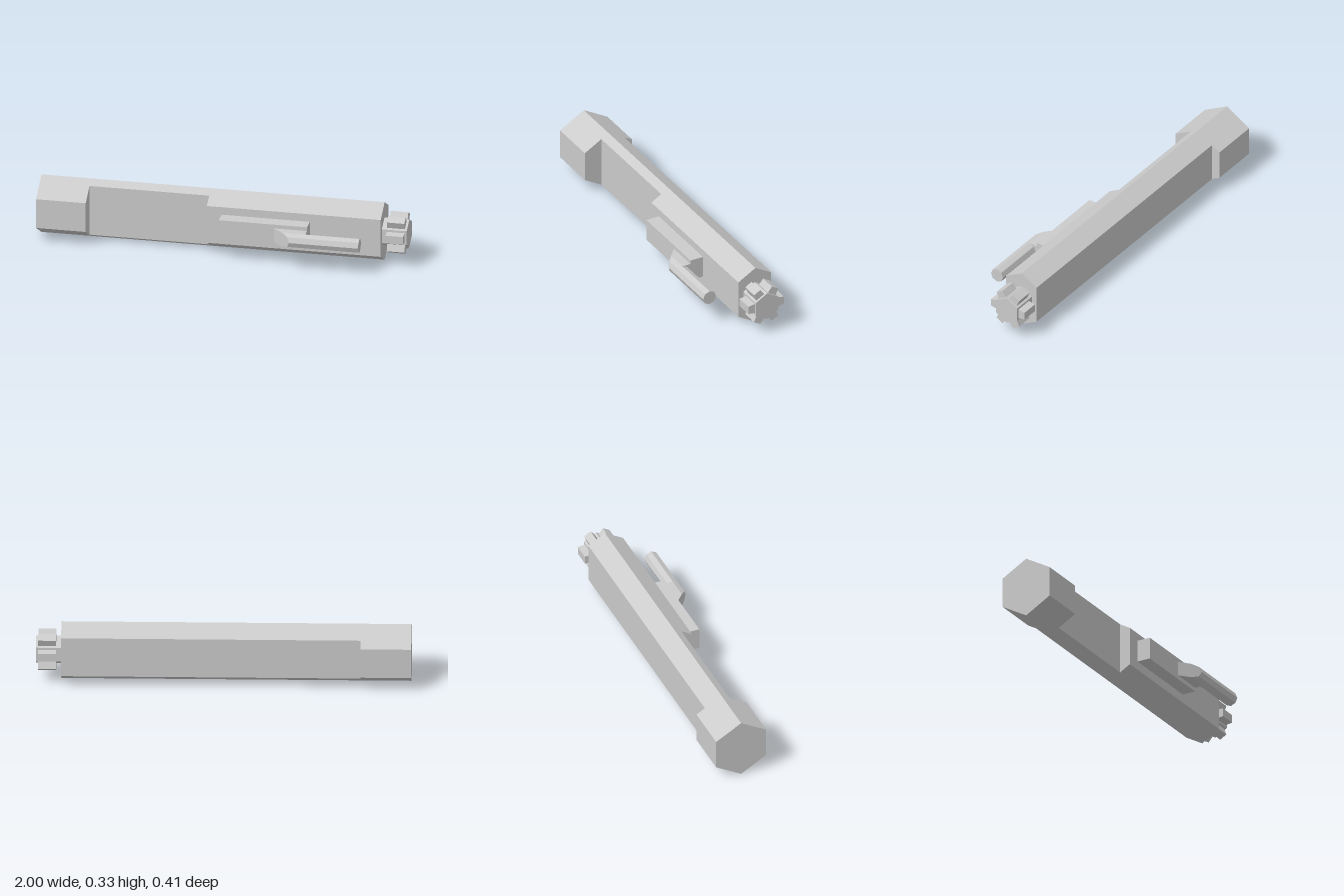
import * as THREE from 'three';

const material = new THREE.MeshStandardMaterial({ color: 0xcccccc, flatShading: true });

// Prism running along x, from a cross-section of [z, y] points
function prism(name, section, x0, x1) {
  const shape = new THREE.Shape(section.map(([z, y]) => new THREE.Vector2(-z, y)));
  const geometry = new THREE.ExtrudeGeometry(shape, { depth: x1 - x0, bevelEnabled: false });
  geometry.rotateY(Math.PI / 2).translate(x0, 0, 0);
  const mesh = new THREE.Mesh(geometry, material);
  mesh.name = name;
  return mesh;
}

// Regular polygon as [z, y] points
function polygon(sides, radius, cz, cy, start = 0) {
  return Array.from({ length: sides }, (_, i) => {
    const a = start + (i / sides) * Math.PI * 2;
    return [cz + radius * Math.cos(a), cy + radius * Math.sin(a)];
  });
}

// Pointed-top hexagon with its sides trimmed at z0 and z1
function trimmedHexagon(z0, z1) {
  const cz = -0.062, r = 0.1667;
  const h = z => r - Math.abs(z - cz) * Math.tan(Math.PI / 6);
  return [[z0, r - h(z0)], [cz, 0], [z1, r - h(z1)], [z1, r + h(z1)], [cz, 2 * r], [z0, r + h(z0)]];
}

export function createModel() {
  const model = new THREE.Group();
  model.name = 'hexagonalBarrel';

  // Body in three lengths
  model.add(
    prism('rearBlock', trimmedHexagon(-0.2065, 0.0825), -1, -0.73),
    prism('middleBody', trimmedHexagon(-0.158, -0.018), -0.73, -0.08),
    prism('forwardBody', trimmedHexagon(-0.158, 0.042), -0.08, 0.865)
  );

  // Locking head with six tapered lugs
  const cz = -0.058, cy = 0.167;
  const head = new THREE.Group();
  head.name = 'lockingHead';
  head.add(prism('headHub', polygon(6, 0.08, cz, cy, Math.PI / 6), 0.86, 1));
  const lug = [[0.06, -0.029], [0.109, -0.022], [0.109, 0.022], [0.06, 0.029]];
  for (let i = 0; i < 6; i++) {
    const c = Math.cos(i * Math.PI / 3), s = Math.sin(i * Math.PI / 3);
    const section = lug.map(([r, t]) => [cz + r * c - t * s, cy + r * s + t * c]);
    head.add(prism('lug', section, 0.892, 0.988));
  }
  model.add(head);

  // Side bracket
  model.add(prism('sideBracket', [[0.03, 0.108], [0.118, 0.108], [0.118, 0.23], [0.03, 0.23]], 0, 0.48));

  // Handle rod and its neck, whose rear end is cut on a slant
  const rod = polygon(8, 0.0395, 0.167, 0.169);
  model.add(prism('handleRod', rod, 0.45, 0.775));
  const neckSection = [[0.118, 0.1295], rod[6], rod[7], rod[0], rod[1], rod[2], [0.118, 0.2085]];
  const neck = prism('handleNeck', neckSection, 0.3, 0.48);
  const p = neck.geometry.attributes.position;
  for (let i = 0; i < p.count; i++) {
    if (p.getX(i) < 0.4) p.setX(i, 0.3 + (p.getZ(i) - 0.118) * 1.13);
  }
  neck.geometry.computeVertexNormals();
  model.add(neck);

  return model;
}
